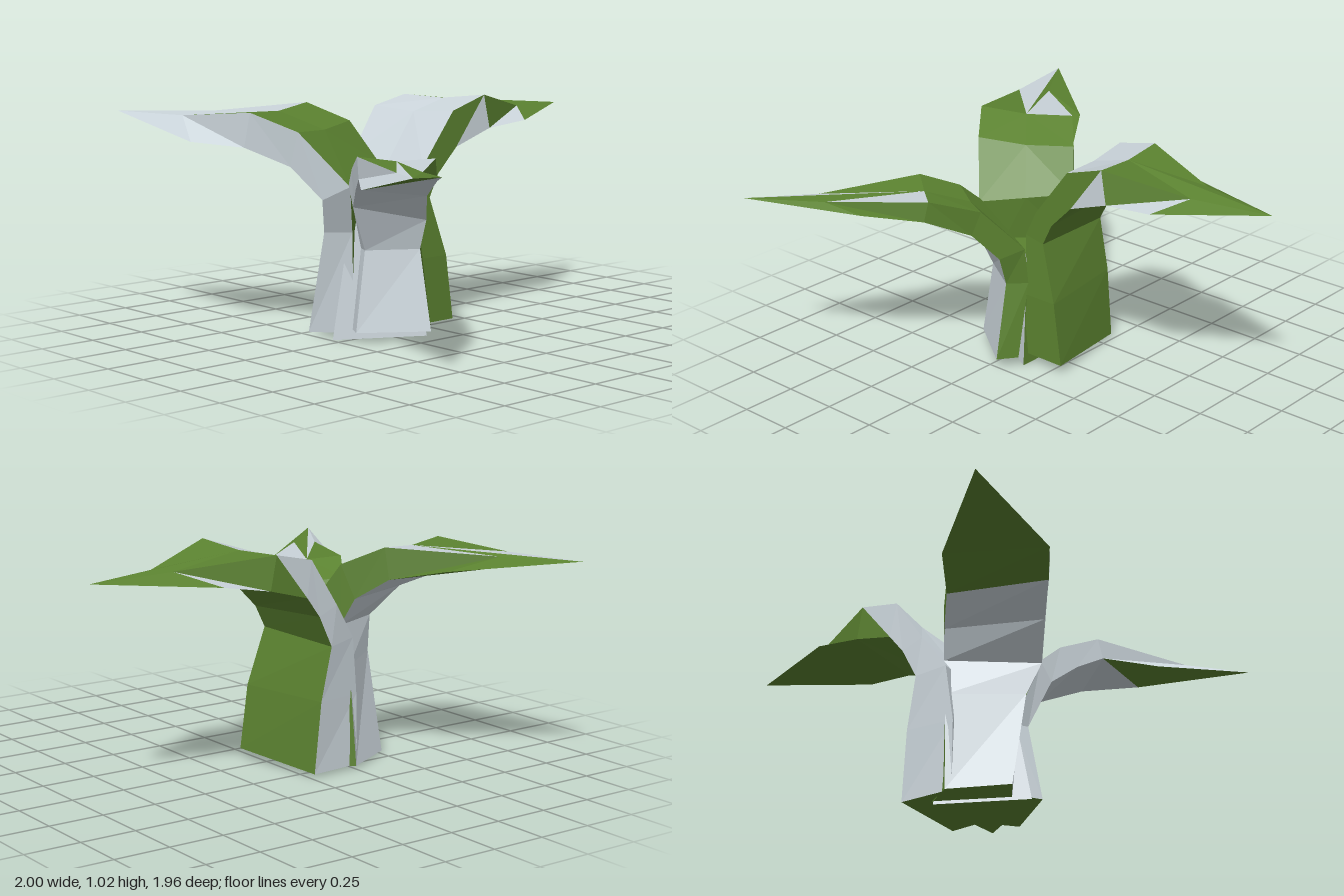
import * as THREE from 'three';

const green = new THREE.MeshStandardMaterial({ color: 0x5b8230 });
green.name = 'leafGreen';
const pale = new THREE.MeshStandardMaterial({ color: 0xcad4da });
pale.name = 'paleGrey';

// Flat-faced mesh; faces turned to the front are pale, all others green.
function paintedMesh(name, triangles) {
  const sets = [[], []];
  const n = new THREE.Vector3();
  for (const t of triangles) {
    new THREE.Triangle(...t).getNormal(n);
    sets[n.z > 0.001 ? 1 : 0].push(...t);
  }
  const geo = new THREE.BufferGeometry().setFromPoints([...sets[0], ...sets[1]]);
  geo.addGroup(0, sets[0].length, 0);
  geo.addGroup(sets[0].length, sets[1].length, 1);
  geo.computeVertexNormals();
  const mesh = new THREE.Mesh(geo, [green, pale]);
  mesh.name = name;
  return mesh;
}

// Each row is a cross-section: upper left, upper right, lower right, lower left.
function leaf(name, tip, rows) {
  const end = new THREE.Vector3(...tip);
  const loops = rows.map((row, i) => {
    const [l, r, lowR, lowL] = row.map((p) => new THREE.Vector3(...p));
    const mid = l.clone().lerp(r, 0.5);
    if (i > 2) mid.y -= 0.015; // shallow valley along the blade
    return [l, mid, r, lowR, lowL];
  });
  const tris = [];
  const final = loops.length - 1;
  for (let i = 0; i < final; i++) {
    const p = loops[i], q = loops[i + 1];
    for (let k = 0; k < 5; k++) {
      const m = (k + 1) % 5;
      if (i === final - 1 && k < 2) continue;
      if (k === 1 || k === 2) tris.push([p[k], p[m], q[k]], [p[m], q[m], q[k]]);
      else tris.push([p[k], p[m], q[m]], [p[k], q[m], q[k]]);
    }
  }
  // the upper face of the point fans out from the end of the valley
  const [l, mid, r] = loops[final - 1];
  const [l2, , r2, lowR, lowL] = loops[final];
  tris.push([mid, r, r2], [mid, r2, end], [mid, end, l2], [mid, l2, l]);
  tris.push([r2, lowR, end], [lowR, lowL, end], [lowL, l2, end]);
  // underside of the stem
  const b = loops[0];
  for (let k = 1; k < 4; k++) tris.push([b[0], b[k + 1], b[k]]);
  return paintedMesh(name, tris);
}

export function createModel() {
  const group = new THREE.Group();
  group.name = 'plant';

  group.add(leaf('backLeaf', [-0.14, 0.94, -0.98], [
    [[-0.31, 0.02, 0.27], [0.12, 0.05, 0.16], [0.12, 0.05, -0.06], [-0.33, 0.02, 0.02]],
    [[-0.3, 0.34, 0.27], [0.12, 0.34, 0.14], [0.12, 0.34, -0.02], [-0.335, 0.34, 0.05]],
    [[-0.31, 0.6, 0.24], [0.1, 0.62, 0.16], [0.1, 0.6, 0.06], [-0.34, 0.58, 0.1]],
    [[-0.335, 0.76, 0.13], [0.1, 0.74, 0.1], [0.1, 0.7, 0.01], [-0.345, 0.72, 0.03]],
    [[-0.34, 0.97, -0.01], [0.1, 0.97, -0.08], [0.1, 0.81, -0.1], [-0.35, 0.81, -0.04]],
    [[-0.35, 1.01, -0.2], [0.1, 1.03, -0.27], [0.105, 0.88, -0.3], [-0.35, 0.86, -0.23]],
    [[-0.19, 0.96, -0.61], [-0.05, 0.95, -0.63], [0.1, 0.9, -0.53], [-0.345, 0.9, -0.46]],
  ]));

  group.add(leaf('frontRightLeaf', [-1, 0.96, 0.93], [
    [[-0.04, 0.02, 0.38], [-0.25, 0.02, 0.12], [-0.33, 0.02, 0.25], [-0.2, 0.02, 0.5]],
    [[-0.01, 0.47, 0.41], [-0.22, 0.47, 0.13], [-0.3, 0.47, 0.23], [-0.09, 0.47, 0.5]],
    [[0.06, 0.68, 0.48], [-0.17, 0.74, 0.12], [-0.27, 0.65, 0.2], [-0.04, 0.62, 0.55]],
    [[-0.1, 0.91, 0.63], [-0.27, 0.92, 0.2], [-0.32, 0.77, 0.24], [-0.14, 0.76, 0.64]],
    [[-0.26, 0.99, 0.76], [-0.41, 1.0, 0.33], [-0.43, 0.86, 0.34], [-0.29, 0.84, 0.77]],
    [[-0.62, 0.96, 0.85], [-0.7, 0.96, 0.73], [-0.64, 0.91, 0.48], [-0.48, 0.86, 0.91]],
  ]));

  group.add(leaf('frontLeftLeaf', [1, 0.85, 0.98], [
    [[0.18, 0.05, 0.14], [0, 0.05, 0.42], [0.07, 0.05, 0.46], [0.26, 0.05, 0.2]],
    [[0.12, 0.4, 0.13], [0, 0.4, 0.37], [0.06, 0.4, 0.4], [0.19, 0.4, 0.2]],
    [[0.14, 0.57, 0.13], [0.05, 0.69, 0.48], [0.1, 0.6, 0.5], [0.23, 0.53, 0.2]],
    [[0.29, 0.76, 0.25], [0.13, 0.77, 0.53], [0.2, 0.69, 0.57], [0.32, 0.65, 0.28]],
    [[0.48, 0.83, 0.38], [0.28, 0.84, 0.63], [0.3, 0.75, 0.64], [0.5, 0.74, 0.39]],
    [[0.77, 0.83, 0.72], [0.72, 0.83, 0.81], [0.5, 0.74, 0.8], [0.71, 0.79, 0.56]],
  ]));

  // Tapered core that fills the space between the three stems
  const core = new THREE.CylinderGeometry(0.14, 0.24, 0.5, 3).toNonIndexed();
  core.translate(-0.05, 0.255, 0.25);
  const pos = core.getAttribute('position');
  const corner = (i) => new THREE.Vector3().fromBufferAttribute(pos, i);
  const tris = [];
  for (let i = 0; i < pos.count; i += 3) tris.push([corner(i), corner(i + 1), corner(i + 2)]);
  group.add(paintedMesh('stemCore', tris));

  return group;
}
